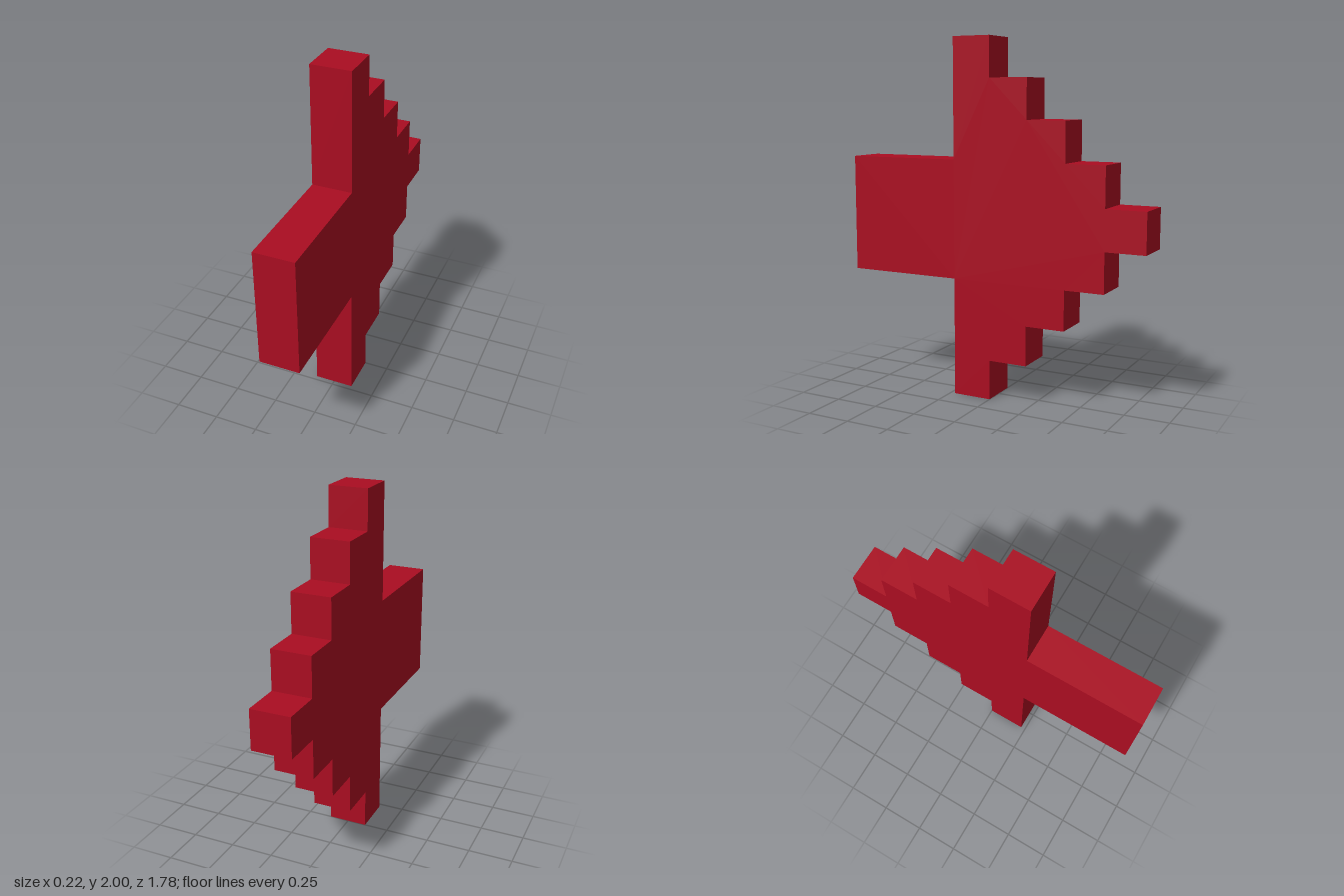
import * as THREE from 'three';

const U = 2 / 9; // one block of the stepped outline

export function createModel() {
  const group = new THREE.Group();
  group.name = 'blockArrow';
  const red = new THREE.MeshStandardMaterial({ color: 0xaa0d21 });
  red.name = 'red';

  // Lower half of the side outline, as (z, y) in blocks: shaft, then stepped head
  const lower = [[4, 3], [1, 3], [1, 0]];
  for (let i = 0; i < 5; i++) {
    lower.push([-i, i]);
    if (i < 4) lower.push([-i, i + 1]);
  }
  // Mirror about the middle height; drop nothing, the ends join vertically
  const upper = lower.map(([z, y]) => [z, 9 - y]).reverse();
  const shape = new THREE.Shape(
    [...lower, ...upper].map(([z, y]) => new THREE.Vector2(z * U, y * U))
  );

  // One block thick, turned so the shaft points to +z
  const geometry = new THREE.ExtrudeGeometry(shape, { depth: U, bevelEnabled: false });
  geometry.translate(0, 0, -U / 2);
  geometry.rotateY(-Math.PI / 2);

  const arrow = new THREE.Mesh(geometry, red);
  arrow.name = 'arrow';
  group.add(arrow);
  return group;
}
